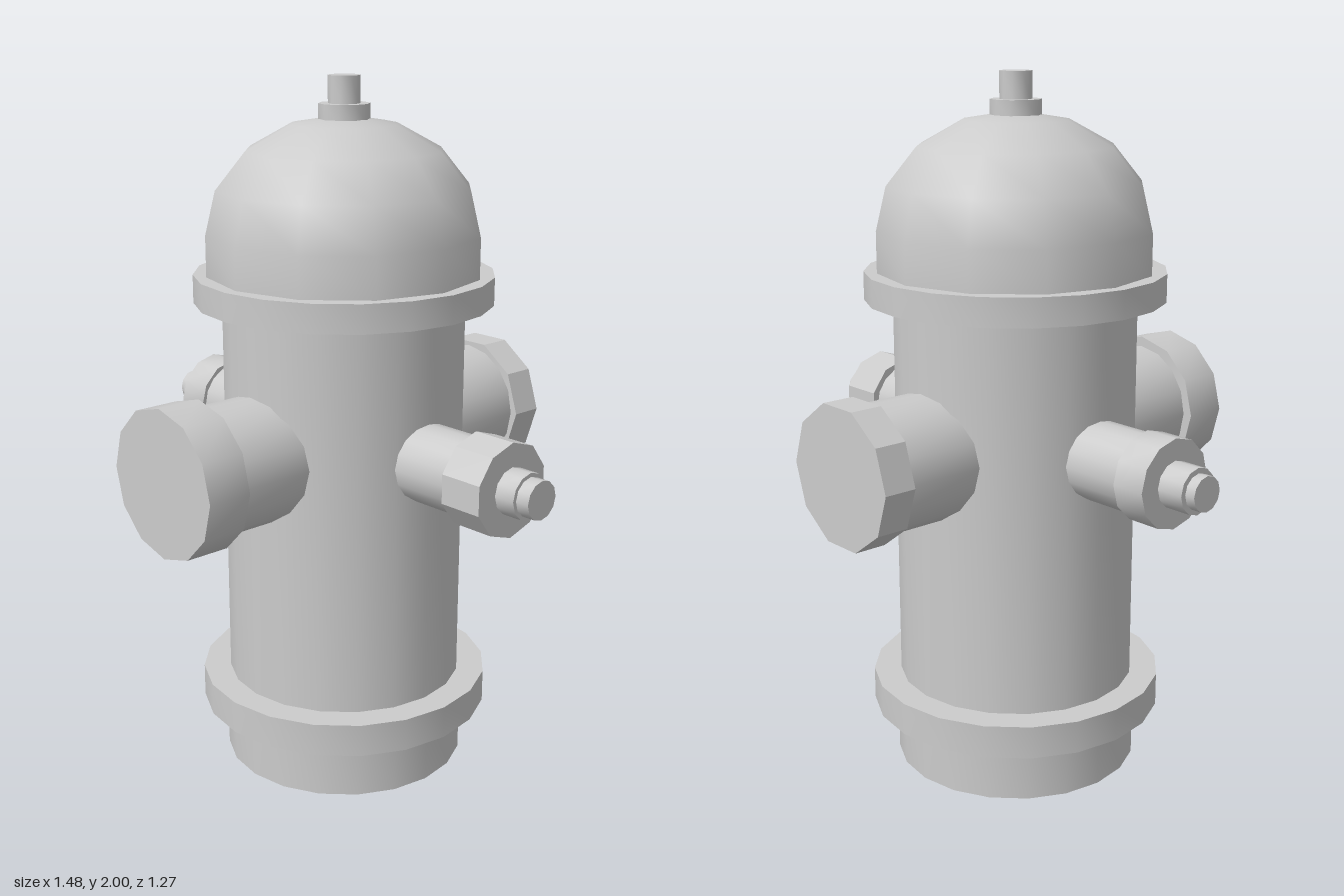
import * as THREE from 'three';
import { toCreasedNormals } from 'three/addons/utils/BufferGeometryUtils.js';

const solid = new THREE.MeshStandardMaterial({ color: 0xcccccc });
const open = new THREE.MeshStandardMaterial({ color: 0xcccccc, side: THREE.DoubleSide });

// Turned part from [radius, height] pairs running bottom to top
function turned(name, profile, sides, { material = solid, crease = 0.7, start = 0 } = {}) {
  const points = profile.map(([r, y]) => new THREE.Vector2(r, y));
  const geometry = new THREE.LatheGeometry(points, sides, start);
  const mesh = new THREE.Mesh(toCreasedNormals(geometry, crease), material);
  mesh.name = name;
  return mesh;
}

// Closed drum between two heights
const drum = (name, r, y0, y1, sides, options) =>
  turned(name, [[0, y0], [r, y0], [r, y1], [0, y1]], sides, options);

// Flange with a hole through it
const flange = (name, inner, outer, y0, y1) =>
  turned(name, [[inner, y0], [outer, y0], [outer, y1], [inner, y1], [inner, y0]], 20);

// Outlet built upright, then laid on its side and turned to its direction
function outlet(name, angle, parts) {
  const group = new THREE.Group();
  group.name = name;
  group.add(...parts);
  group.position.y = 0.977;
  group.rotation.set(Math.PI / 2, angle, 0, 'YXZ');
  return group;
}

export function createModel() {
  const model = new THREE.Group();
  model.name = 'hydrant';
  model.position.set(-0.015, 0, -0.015);

  // Hollow base and barrel with their flanges
  model.add(
    turned('base', [[0.355, 0], [0.355, 0.2]], 20, { material: open }),
    flange('lowerFlange', 0.3, 0.425, 0.165, 0.26),
    turned('barrel', [[0.345, 0.2], [0.345, 1.42]], 20, { material: open }),
    flange('upperFlange', 0.3, 0.425, 1.38, 1.46)
  );

  // Domed bonnet: short wall, then a quarter ellipse
  const dome = [[0.39, 1.46]];
  for (let i = 0; i <= 4; i++) {
    const a = (i * Math.PI) / 8;
    dome.push([i === 4 ? 0 : 0.39 * Math.cos(a), 1.575 + 0.32 * Math.sin(a)]);
  }
  model.add(turned('bonnet', dome, 12, { material: open }));

  // Operating nut
  model.add(
    drum('nutCollar', 0.072, 1.87, 1.925, 10),
    drum('nutStem', 0.045, 1.92, 2, 10)
  );

  // Large front and back outlets
  model.add(
    outlet('frontOutlet', 0, [
      drum('frontPipe', 0.18, 0.28, 0.53, 16),
      drum('frontCap', 0.21, 0.52, 0.65, 12),
    ]),
    outlet('backOutlet', Math.PI, [
      drum('backPipe', 0.18, 0.28, 0.54, 16),
      drum('backCap', 0.202, 0.525, 0.62, 10, { crease: 0.1, start: Math.PI / 2 }),
    ])
  );

  // Small side outlets with stepped stems
  model.add(
    outlet('leftOutlet', Math.PI / 2, [
      drum('leftPipe', 0.111, 0.3, 0.53, 16),
      drum('leftCap', 0.132, 0.517, 0.648, 10, { crease: 0.1 }),
      drum('leftStem', 0.065, 0.64, 0.71, 12),
      drum('leftTip', 0.054, 0.7, 0.75, 12),
    ]),
    outlet('rightOutlet', -Math.PI / 2, [
      drum('rightPipe', 0.111, 0.3, 0.53, 16),
      drum('rightCap', 0.124, 0.517, 0.618, 12),
      drum('rightStem', 0.064, 0.61, 0.698, 12),
      drum('rightTip', 0.049, 0.69, 0.728, 12),
    ])
  );

  const root = new THREE.Group();
  root.add(model);
  return root;
}
